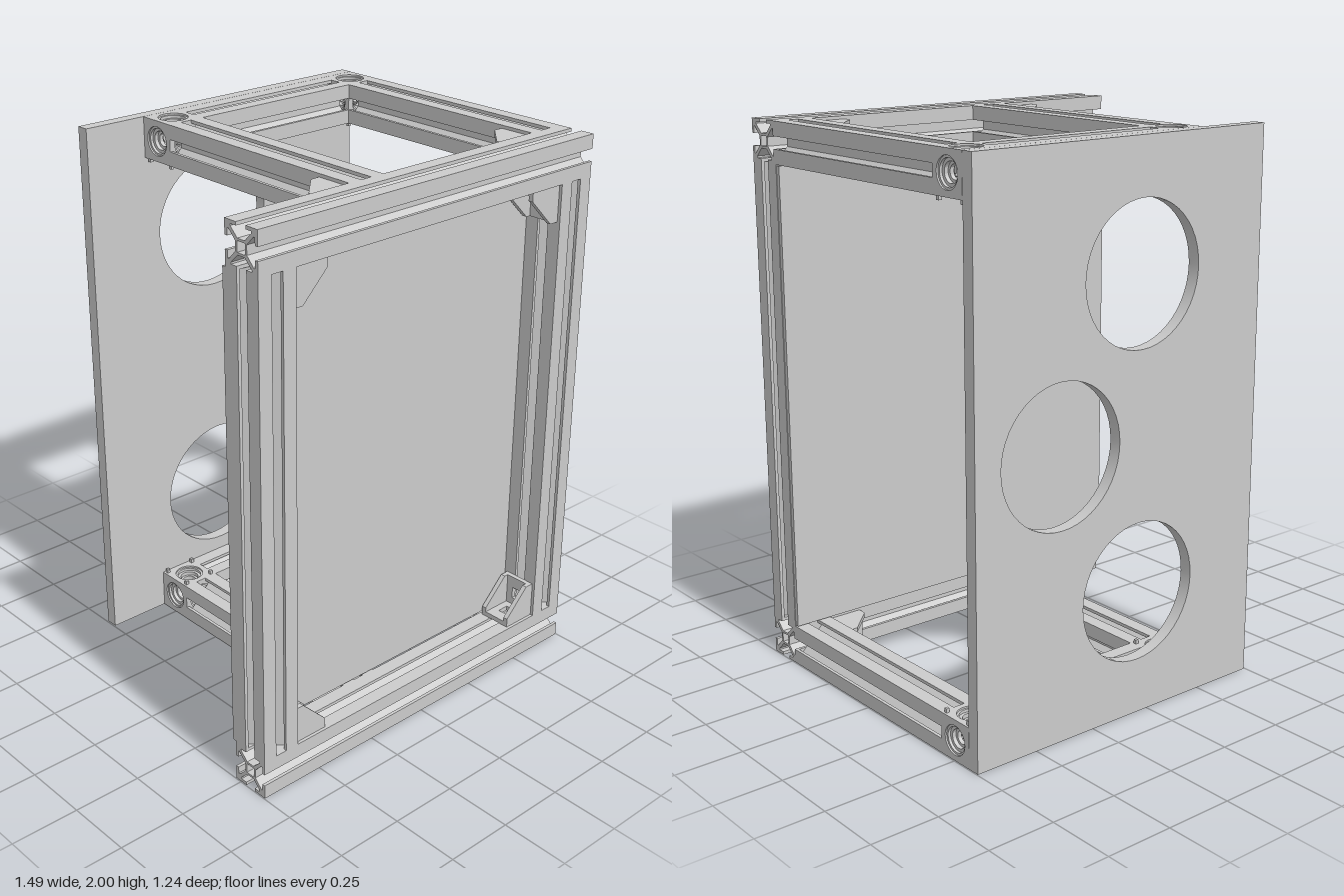
import * as THREE from 'three';
import { mergeGeometries, toCreasedNormals } from 'three/addons/utils/BufferGeometryUtils.js';

const S = 0.148, H = S / 2;              // rail width and half width
const X0 = -0.178, X1 = 0.673;           // depth rail centres
const ZF = 0.548, ZB = -0.501;           // front and back rail centres
const YS = [H, 2 - H];                   // bottom and top rail centres
const mat = new THREE.MeshStandardMaterial({ color: 0xcccccc, side: THREE.DoubleSide });

const extrude = (shape, depth) => {
  const g = new THREE.ExtrudeGeometry(shape, { depth, bevelEnabled: false, curveSegments: 24 });
  g.translate(0, 0, -depth / 2);
  return toCreasedNormals(g, 0.6);
};

const rect = (w, h, Type = THREE.Shape) => new Type([
  [-w / 2, -h / 2], [w / 2, -h / 2], [w / 2, h / 2], [-w / 2, h / 2],
].map(([x, y]) => new THREE.Vector2(x, y)));

const circle = (x, y, r) => new THREE.Path().absarc(x, y, r, 0, Math.PI * 2, true);

// T-slot cross-section: one side's slot and corner, turned four times
function slotProfile() {
  const side = [
    [-0.016, 0.026], [-0.047, 0.056], [-0.047, H - 0.012], [-0.022, H - 0.012], [-0.022, H], [-H, H],
  ];
  const pts = [];
  for (let i = 0; i < 4; i++) {
    const c = Math.round(Math.cos(i * Math.PI / 2)), s = Math.round(Math.sin(i * Math.PI / 2));
    const turn = ([x, y]) => new THREE.Vector2(x * c - y * s, x * s + y * c);
    side.slice(0, 5).reverse().forEach(([x, y]) => pts.push(turn([-x, y])));
    side.forEach((p) => pts.push(turn(p)));
  }
  const shape = new THREE.Shape(pts);
  shape.holes.push(rect(0.036, 0.036, THREE.Path));
  return shape;
}

// Corner bracket: two slotted flanges joined by two gussets, legs along +x and +y
function bracketGeometry() {
  const L = 0.135, W = 0.125, T = 0.018;
  const gusset = new THREE.Shape([[0, 0], [L, 0], [L, 0.035], [0.035, L], [0, L]]
    .map(([x, y]) => new THREE.Vector2(x, y)));
  const flange = rect(L, W);
  flange.holes.push(rect(0.045, 0.035, THREE.Path));
  const parts = [-1, 1].map((k) => extrude(gusset, T).translate(0, 0, k * (W - T) / 2));
  parts.push(extrude(flange, T).rotateX(Math.PI / 2).translate(L / 2, T / 2, 0));
  parts.push(extrude(flange, T).rotateX(Math.PI / 2).rotateZ(Math.PI / 2).translate(T / 2, L / 2, 0));
  return mergeGeometries(parts);
}

// Corner cube: six plates with stepped round openings
function cubeGeometry() {
  const T = 0.012;
  const face = rect(S, S);
  face.holes.push(circle(0, 0, 0.053));
  const step = [[0.053, H], [0.053, H - 0.006], [0.045, H - 0.006], [0.045, H - 0.016],
    [0.034, H - 0.016], [0.034, H - 0.03], [0.024, H - 0.03], [0.024, H - 0.045]];
  const seat = new THREE.LatheGeometry(step.map(([x, y]) => new THREE.Vector2(x, y)), 32);
  const sideGeo = mergeGeometries([
    extrude(face, T).translate(0, 0, H - T / 2),
    toCreasedNormals(seat.rotateX(Math.PI / 2), 0.6),
  ]);
  const sides = [0, 1, 2, 3].map((i) => sideGeo.clone().rotateY(i * Math.PI / 2));
  sides.push(sideGeo.clone().rotateX(Math.PI / 2), sideGeo.clone().rotateX(-Math.PI / 2));
  return mergeGeometries(sides);
}

export function createModel() {
  const model = new THREE.Group();
  const add = (name, geo, x, y, z, parent = model) => {
    const m = new THREE.Mesh(geo, mat);
    m.name = name;
    m.position.set(x, y, z);
    parent.add(m);
    return m;
  };

  const profile = slotProfile();
  const rail = (name, axis, length, x, y, z) => {
    const g = extrude(profile, length);
    if (axis === 'x') g.rotateY(Math.PI / 2);
    if (axis === 'y') g.rotateX(Math.PI / 2);
    add(name, g, x, y, z);
  };

  // Rails of the front frame and of the top and bottom frames
  const zEnd = ZF - H, zStart = ZB + H;
  for (const y of YS) {
    rail('frontRail', 'x', 1.494, 0, y, ZF);
    rail('backRail', 'x', X1 - X0 - S, (X0 + X1) / 2, y, ZB);
    for (const x of [X0, X1]) rail('depthRail', 'z', zEnd - zStart, x, y, (zEnd + zStart) / 2);
  }
  for (const x of [-X1, X1]) rail('frontPost', 'y', 2 - 2 * S, x, 1, ZF);

  // Corner cubes with locating pins on their inner faces
  const cube = cubeGeometry();
  const pin = new THREE.BoxGeometry(0.012, 0.03, 0.012);
  for (const y of YS) for (const x of [X0, X1]) {
    const corner = new THREE.Group();
    corner.name = 'cornerJoint';
    corner.position.set(x, y, ZB);
    model.add(corner);
    add('cornerCube', cube, 0, 0, 0, corner);
    const inward = y < 1 ? H : -H;
    for (const px of [-0.06, 0.06]) for (const pz of [-0.06, 0.06]) add('locatingPin', pin, px, inward, pz, corner);
  }

  // Brackets inside the front frame and beside the depth rails
  const bracket = bracketGeometry();
  const inX = X1 - H, inY = 1 - S;
  [[-1, -1], [1, -1], [1, 1], [-1, 1]].forEach(([sx, sy], i) => {
    add('frameBracket', bracket.clone().rotateZ(i * Math.PI / 2), sx * inX, 1 + sy * inY, ZF);
  });
  const flat = bracket.clone().rotateZ(Math.PI / 2).rotateX(-Math.PI / 2);
  for (const y of YS) for (const x of [X0, X1]) add('railBracket', flat, x - H, y, zEnd);

  // Thin panel closing the front frame
  add('frontPanel', new THREE.BoxGeometry(1.49, 1.696, 0.016), 0, 1, zEnd - 0.008);

  // Back plate with three round openings
  const plate = new THREE.Shape([[-0.495, 0], [0.747, 0], [0.747, 2], [-0.495, 2]]
    .map(([x, y]) => new THREE.Vector2(x, y)));
  for (const [x, y] of [[0.05, 1.55], [0.395, 1], [0.05, 0.45]]) plate.holes.push(circle(x, y, 0.25));
  add('backPlate', extrude(plate, 0.046), 0, 0, -0.599);

  return model;
}
